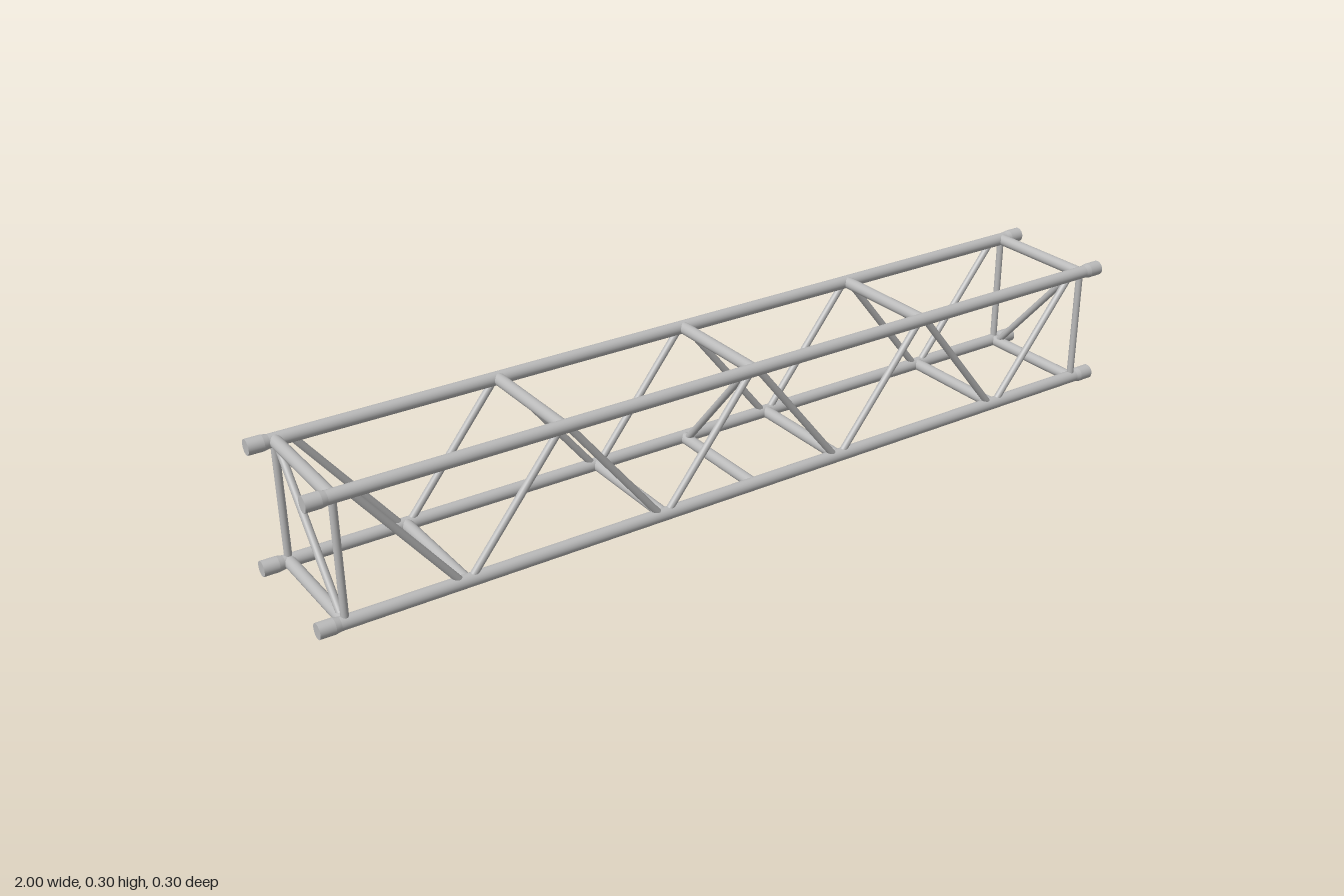
import * as THREE from 'three';

export function createModel() {
  const root = new THREE.Group();
  root.name = 'boxTruss';
  const metal = new THREE.MeshStandardMaterial({ color: 0xbababa });
  metal.name = 'brushedAluminium';

  const LOW = 0.017, HIGH = 0.287, SIDE = 0.135, END = 0.943;
  const CHORD_R = 0.0145, RUNG_R = 0.0133, BRACE_R = 0.008;
  const UP = new THREE.Vector3(0, 1, 0);

  // Round tube between two points
  function tube(name, a, b, radius, sides = 20) {
    const p = new THREE.Vector3(...a), q = new THREE.Vector3(...b);
    const dir = q.clone().sub(p);
    const geo = new THREE.CylinderGeometry(radius, radius, dir.length(), sides);
    const mesh = new THREE.Mesh(geo, metal);
    mesh.name = name;
    mesh.position.copy(p).add(q).multiplyScalar(0.5);
    mesh.quaternion.setFromUnitVectors(UP, dir.normalize());
    root.add(mesh);
  }

  // Thicker end sleeve with a short taper down to the chord
  const sleeveProfile = [[CHORD_R, 0], [0.0168, 0.012], [0.0168, 0.012], [0.0168, 0.045], [0.0168, 0.045], [0, 0.045]]
    .map(([r, y]) => new THREE.Vector2(r, y));
  const sleeveParts = [sleeveProfile.slice(0, 2), sleeveProfile.slice(2, 4), sleeveProfile.slice(4)]
    .map((pts) => new THREE.LatheGeometry(pts, 28));

  // Four main chords with sleeves at both ends
  for (const y of [LOW, HIGH]) {
    for (const z of [-SIDE, SIDE]) {
      tube('chord', [-0.99, y, z], [0.99, y, z], CHORD_R, 28);
      for (const s of [-1, 1]) {
        const sleeve = new THREE.Group();
        sleeve.name = 'endSleeve';
        sleeveParts.forEach((g) => sleeve.add(new THREE.Mesh(g, metal)));
        sleeve.position.set(s * 0.955, y, z);
        sleeve.rotation.z = -s * Math.PI / 2;
        root.add(sleeve);
      }
    }
  }

  // Cross rungs between front and back chords
  for (const x of [-END, -0.458, 0, 0.458, END]) {
    tube('topRung', [x, HIGH, -SIDE], [x, HIGH, SIDE], RUNG_R);
  }
  for (const x of [-END, -0.688, -0.229, 0, 0.229, 0.688, END]) {
    tube('bottomRung', [x, LOW, -SIDE], [x, LOW, SIDE], RUNG_R);
  }

  // Zigzag braces and end posts on the front and back faces: [top x, bottom x]
  const zigzag = [[0.91, 0.697], [0.465, 0.68], [0.45, 0.237], [0.008, 0.222]];
  for (const z of [-SIDE, SIDE]) {
    for (const s of [-1, 1]) {
      tube('endPost', [s * END, LOW, z], [s * END, HIGH, z], BRACE_R);
      for (const [top, bottom] of zigzag) {
        tube('sideBrace', [s * top, HIGH, z], [s * bottom, LOW, z], BRACE_R);
      }
    }
  }

  // Diagonal braces across the inside at both ends and the middle
  for (const [x, s] of [[-END, -1], [0, 1], [END, 1]]) {
    tube('crossBrace', [x, HIGH, s * 0.12], [x, LOW, -s * 0.12], BRACE_R);
  }

  return root;
}
